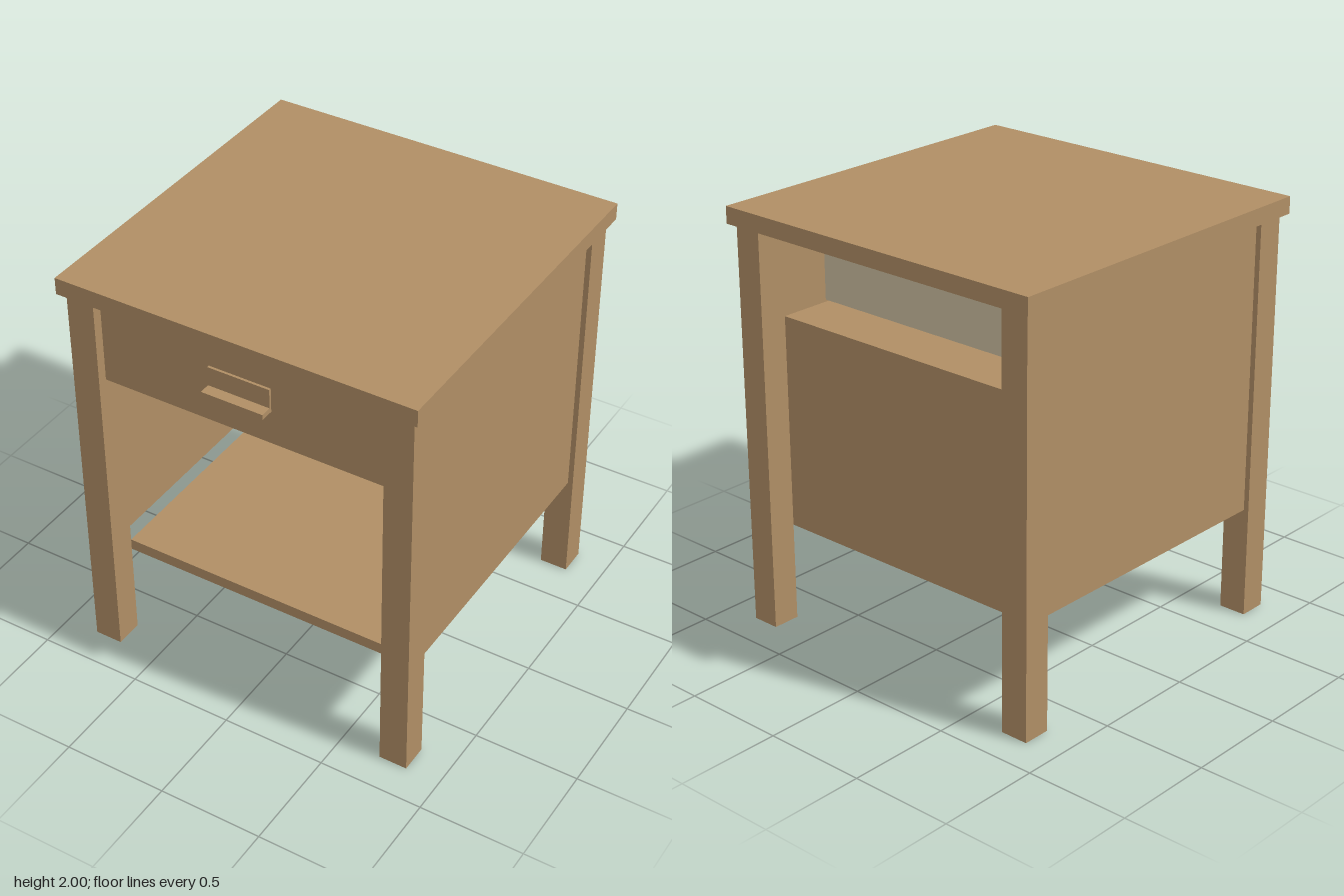
import * as THREE from 'three';

export function createModel() {
  const group = new THREE.Group();
  const wood = new THREE.MeshStandardMaterial({ color: 0xb08e65 });
  wood.name = 'wood';
  const paleWood = new THREE.MeshStandardMaterial({ color: 0xcdbfa0 });
  paleWood.name = 'paleWood';

  // Box given by its extents on each axis
  function box(name, [x0, x1], [y0, y1], [z0, z1], material = wood, parent = group) {
    const mesh = new THREE.Mesh(new THREE.BoxGeometry(x1 - x0, y1 - y0, z1 - z0), material);
    mesh.position.set((x0 + x1) / 2, (y0 + y1) / 2, (z0 + z1) / 2);
    mesh.name = name;
    parent.add(mesh);
    return mesh;
  }
  const span = (side, a, b) => (side > 0 ? [a, b] : [-b, -a]);

  // Table top
  box('tableTop', [-0.865, 0.865], [1.92, 2], [-0.865, 0.865]);

  // Legs and side panels, mirrored left and right
  for (const sx of [1, -1]) {
    const side = sx > 0 ? 'left' : 'right';
    for (const sz of [1, -1]) {
      box(side + (sz > 0 ? 'FrontLeg' : 'BackLeg'), span(sx, 0.7, 0.835), [0, 1.92], span(sz, 0.7, 0.835));
    }
    box(side + 'SidePanel', span(sx, 0.76, 0.81), [0.53, 1.92], [-0.7, 0.7]);
  }

  // Shelves and the back panel behind them
  box('lowerShelf', [-0.7, 0.7], [0.475, 0.53], [-0.65, 0.7]);
  box('drawerShelf', [-0.7, 0.7], [1.44, 1.49], [-0.65, 0.7]);
  box('backPanel', [-0.7, 0.7], [0.475, 1.49], [-0.7, -0.65]);

  // Drawer: front board, open box and handle
  const drawer = new THREE.Group();
  drawer.name = 'drawer';
  group.add(drawer);
  box('drawerFront', [-0.69, 0.69], [1.505, 1.905], [0.75, 0.8], wood, drawer);
  box('drawerBottom', [-0.66, 0.66], [1.505, 1.53], [-0.43, 0.75], paleWood, drawer);
  box('drawerBack', [-0.69, 0.69], [1.505, 1.87], [-0.46, -0.43], paleWood, drawer);
  for (const sx of [1, -1]) {
    box(sx > 0 ? 'drawerLeftSide' : 'drawerRightSide', span(sx, 0.66, 0.69), [1.505, 1.87], [-0.43, 0.75], paleWood, drawer);
  }
  box('handlePlate', [-0.15, 0.15], [1.693, 1.785], [0.8, 0.812], wood, drawer);
  box('handleLip', [-0.15, 0.15], [1.668, 1.693], [0.8, 0.865], wood, drawer);

  return group;
}
